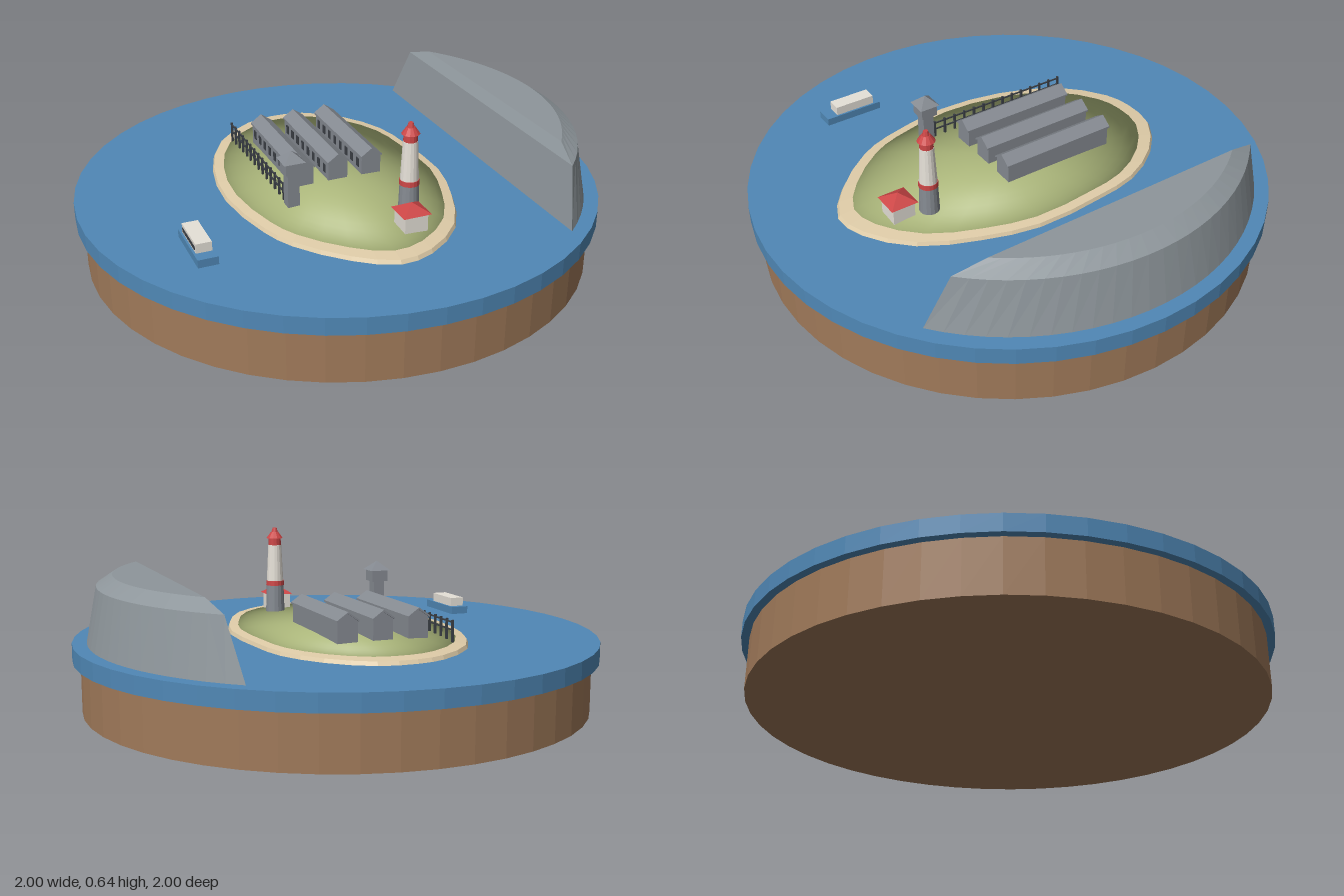
import * as THREE from 'three';

const mat = (name, color, extra = {}) => new THREE.MeshStandardMaterial({ name, color, ...extra });

// Joins stacked closed loops (clockwise seen from above) and caps the top
function loft(loops) {
  const pos = [];
  const tri = (...p) => p.forEach(q => pos.push(q.x, q.y, q.z));
  const n = loops[0].length;
  for (let l = 0; l < loops.length - 1; l++) {
    for (let j = 0; j < n; j++) {
      const k = (j + 1) % n, lo = loops[l], hi = loops[l + 1];
      tri(lo[k], lo[j], hi[j]);
      tri(lo[k], hi[j], hi[k]);
    }
  }
  const top = loops[loops.length - 1];
  for (let j = 1; j < n - 1; j++) tri(top[0], top[j + 1], top[j]);
  const g = new THREE.BufferGeometry();
  g.setAttribute('position', new THREE.Float32BufferAttribute(pos, 3));
  g.computeVertexNormals();
  return g;
}

// Extrudes a cross-section (z, y) along x, centred
function alongX(points, length) {
  const shape = new THREE.Shape(points.map(p => new THREE.Vector2(...p)));
  const g = new THREE.ExtrudeGeometry(shape, { depth: length, bevelEnabled: false });
  return g.translate(0, 0, -length / 2).rotateY(Math.PI / 2);
}

export function createModel() {
  const earth = mat('earth brown', 0xa07a5a);
  const water = mat('water blue', 0x5088b6);
  const sand = mat('sand', 0xdfcca8);
  const grass = mat('grass green', 0xaab57a);
  const rock = mat('rock grey', 0x8e969b);
  const concrete = mat('concrete grey', 0x868b92);
  const dark = mat('dark iron', 0x3c4046);
  const white = mat('warm white', 0xe6e1d8);
  const red = mat('signal red', 0xcc4646);
  for (const m of [earth, water, rock, concrete, red, white]) m.flatShading = true;

  const model = new THREE.Group();
  model.name = 'islandDiorama';
  // Everything on the water shares one diagonal axis
  const site = new THREE.Group();
  site.name = 'site';
  site.rotation.y = -Math.PI / 9;
  model.add(site);

  const add = (parent, name, geo, material, x = 0, y = 0, z = 0) => {
    const m = new THREE.Mesh(geo, material);
    m.name = name;
    m.position.set(x, y, z);
    parent.add(m);
    return m;
  };
  const group = (name, x, z) => {
    const g = new THREE.Group();
    g.name = name;
    g.position.set(x, 0, z);
    site.add(g);
    return g;
  };
  // Box standing on height y
  const box = (parent, name, w, h, d, material, x, y, z) =>
    add(parent, name, new THREE.BoxGeometry(w, h, d), material, x, y + h / 2, z);
  // Upright cylinder or cone between two heights
  const round = (parent, name, r0, r1, y0, y1, sides, material) =>
    add(parent, name, new THREE.CylinderGeometry(r1, r0, y1 - y0, sides), material, 0, (y0 + y1) / 2, 0);
  // Square pyramid roof aligned with the walls
  const pyramid = (parent, name, side, y0, y1, material) => {
    const m = round(parent, name, side / Math.SQRT2, 0, y0, y1, 4, material);
    m.rotation.y = Math.PI / 4;
  };

  // Base and sea
  round(model, 'earthBase', 0.97, 0.97, 0, 0.2, 48, earth);
  round(model, 'sea', 1, 1, 0.2, 0.265, 48, water);

  // Egg-shaped shoreline
  const shore = [
    [-0.63, -0.064], [-0.62, -0.18], [-0.556, -0.31], [-0.396, -0.41], [-0.2, -0.444], [-0.02, -0.41],
    [0.246, -0.326], [0.43, -0.198], [0.594, -0.03], [0.664, 0.166], [0.645, 0.3], [0.513, 0.406],
    [0.3, 0.487], [0.155, 0.495], [-0.128, 0.444], [-0.37, 0.32], [-0.556, 0.139]
  ].map(([x, z]) => new THREE.Vector3(x, 0, z));
  const curve = new THREE.CatmullRomCurve3(shore, true);
  const n = 34;
  const outline = Array.from({ length: n }, (_, i) => curve.getPoint(i / n));
  const centre = new THREE.Vector3(0.015, 0, 0.025);
  const ring = (s, y) => outline.map(p => p.clone().sub(centre).multiplyScalar(s).add(centre).setY(y));
  add(model, 'beach', loft([ring(1, 0.262), ring(0.985, 0.279), ring(0.85, 0.288)]), sand);

  // Grass mound: a hemisphere pressed flat onto the shoreline, keeping its round normals
  const mound = new THREE.SphereGeometry(1, n, 12, 0, Math.PI * 2, 0, Math.PI / 2);
  const mp = mound.attributes.position;
  for (let i = 0; i < mp.count; i++) {
    const y = mp.getY(i), s = Math.sqrt(Math.max(0, 1 - y * y)) * 0.92;
    const p = outline[(n - (i % (n + 1))) % n].clone().sub(centre).multiplyScalar(s).add(centre);
    mp.setXYZ(i, p.x, 0.28 + 0.025 * y, p.z);
  }
  add(model, 'grassMound', mound, grass);

  // Cliff: shrinking circle segments cut by a straight front
  const cliffLoop = (r, chord, y) => {
    const half = Math.acos(chord / r);
    return Array.from({ length: 25 }, (_, i) => {
      const t = half * (i / 12 - 1);
      return new THREE.Vector3(r * Math.sin(t), y, -r * Math.cos(t));
    });
  };
  add(site, 'cliff', loft([
    cliffLoop(0.946, 0.595, 0.262), cliffLoop(0.905, 0.635, 0.475), cliffLoop(0.845, 0.663, 0.515)
  ]), rock);

  // Three long gabled barracks with a row of windows
  const wallGeo = alongX([[-0.039, 0.285], [0.039, 0.285], [0.039, 0.375], [0, 0.402], [-0.039, 0.375]], 0.465);
  const roofGeo = alongX([[-0.043, 0.373], [0, 0.402], [0.043, 0.373], [0.043, 0.38], [0, 0.41], [-0.043, 0.38]], 0.478);
  for (const z of [-0.105, 0.033, 0.172]) {
    const b = group('barracks', -0.138, z);
    add(b, 'barracksWalls', wallGeo, concrete);
    add(b, 'barracksRoof', roofGeo, concrete);
    for (let i = 0; i < 8; i++) {
      box(b, 'barracksWindow', 0.022, 0.034, 0.006, dark, -0.196 + i * 0.056, 0.325, 0.039);
    }
  }

  // Fence
  const fence = group('fence', -0.435, 0.278);
  for (let i = 0; i < 14; i++) box(fence, 'fencePost', 0.008, 0.09, 0.008, dark, i * 0.046, 0.277, 0);
  for (const y of [0.328, 0.356]) box(fence, 'fenceRail', 0.6, 0.005, 0.005, dark, 0.3, y, 0);

  // Watchtower
  const tower = group('watchtower', 0.21, 0.264);
  box(tower, 'towerShaft', 0.045, 0.155, 0.045, concrete, 0, 0.28, 0);
  box(tower, 'towerCabin', 0.066, 0.045, 0.066, concrete, 0, 0.43, 0);
  pyramid(tower, 'towerRoof', 0.083, 0.475, 0.512, concrete);

  // Lighthouse
  const light = group('lighthouse', 0.417, -0.106);
  round(light, 'lighthouseFoot', 0.039, 0.035, 0.28, 0.405, 16, concrete);
  round(light, 'lighthouseBand', 0.037, 0.036, 0.405, 0.424, 16, red);
  round(light, 'lighthouseShaft', 0.034, 0.027, 0.424, 0.572, 16, white);
  round(light, 'lighthouseLantern', 0.026, 0.025, 0.572, 0.602, 12, red);
  round(light, 'lighthouseCap', 0.034, 0.016, 0.6, 0.625, 12, red);
  round(light, 'lighthouseFinial', 0.014, 0.009, 0.625, 0.642, 8, red);

  // Keeper's house
  const house = group('keeperHouse', 0.522, -0.064);
  box(house, 'houseWalls', 0.088, 0.08, 0.088, white, 0, 0.277, 0);
  pyramid(house, 'houseRoof', 0.108, 0.355, 0.388, red);

  // Ferry
  const boat = group('ferry', 0.345, 0.66);
  box(boat, 'ferryHull', 0.238, 0.034, 0.074, water, 0, 0.261, 0);
  box(boat, 'ferryCabin', 0.165, 0.035, 0.058, white, -0.01, 0.295, 0);
  for (let i = 0; i < 6; i++) {
    box(boat, 'ferryWindow', 0.02, 0.014, 0.004, dark, -0.072 + i * 0.025, 0.304, 0.029);
  }
  return model;
}
